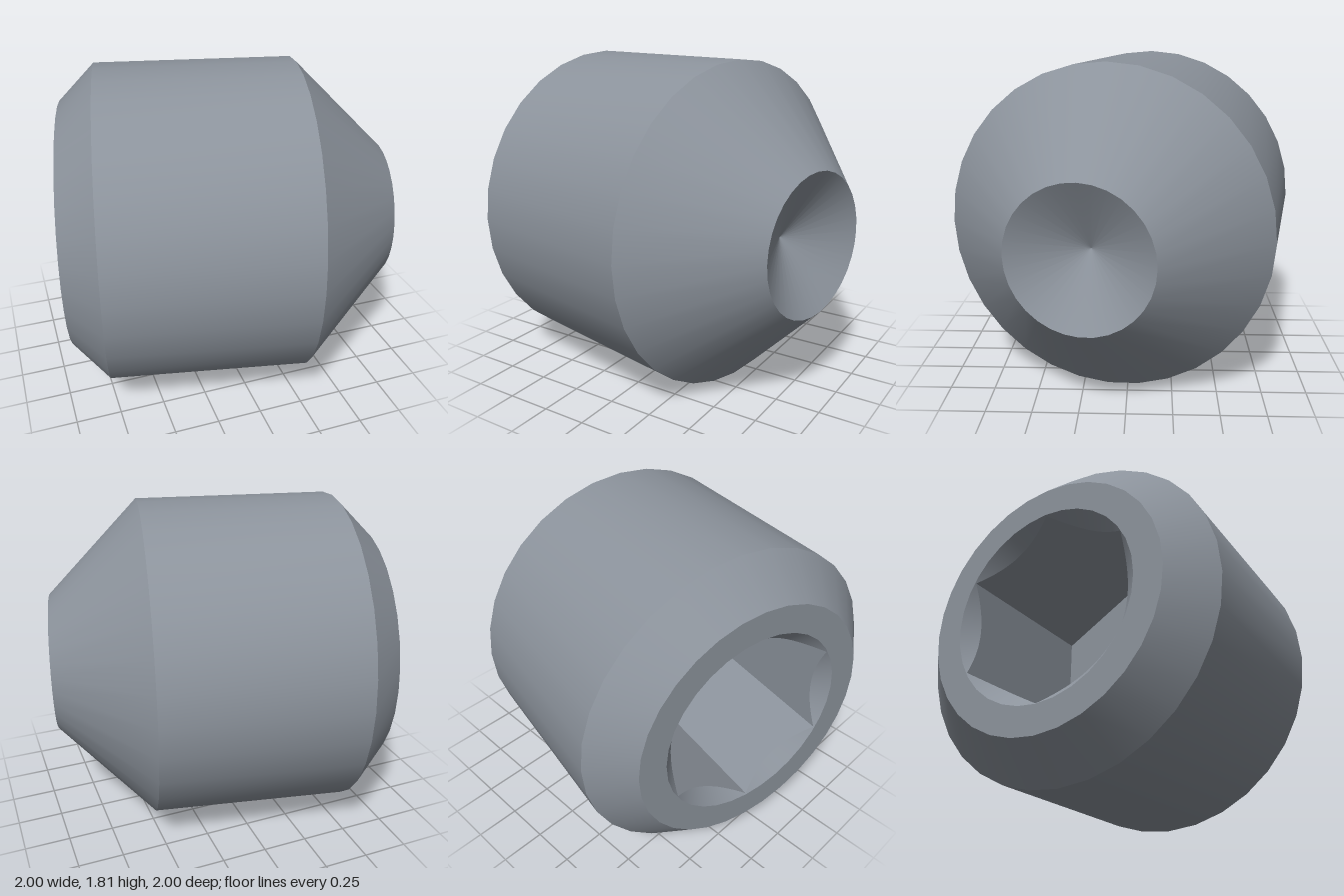
import * as THREE from 'three';
import { toCreasedNormals } from 'three/addons/utils/BufferGeometryUtils.js';

const REAR = -0.87;        // axial position of the socket end
const HEX_RADIUS = 0.54;   // corner radius of the hexagonal socket
const CREASE = 0.45;

// Turned outside: rear face, chamfer, barrel, tapered point, hollow cup
function bodyGeometry() {
  const profile = [
    [HEX_RADIUS + 0.004, REAR], [0.703, REAR], [0.906, -0.668], [0.906, 0.427],
    [0.389, 0.944], [0, 0.72],
  ].map(([r, s]) => new THREE.Vector2(r, s));
  return toCreasedNormals(new THREE.LatheGeometry(profile, 32), CREASE);
}

// Hexagonal hole with a 45 degree countersink that scallops the flats
function socketGeometry() {
  const steps = 96, rim = HEX_RADIUS + 0.005, floor = 0.035;
  const apothem = HEX_RADIUS * Math.cos(Math.PI / 6);
  const positions = [], index = [];
  for (let i = 0; i < steps; i++) {
    const t = (i / steps) * Math.PI * 2;
    const fromFlat = (t % (Math.PI / 3)) - Math.PI / 6;
    const hex = apothem / Math.cos(fromFlat);
    const rings = [[rim, REAR], [hex, REAR + rim - hex], [hex, floor], [0, floor]];
    for (const [r, s] of rings) positions.push(r * Math.cos(t), s, r * Math.sin(t));
    const next = (i + 1) % steps;
    for (let k = 0; k < 3; k++) {
      const a = i * 4 + k, b = next * 4 + k;
      index.push(a, b, a + 1);
      if (k < 2) index.push(b, b + 1, a + 1);
    }
  }
  const geometry = new THREE.BufferGeometry();
  geometry.setAttribute('position', new THREE.Float32BufferAttribute(positions, 3));
  geometry.setIndex(index);
  return toCreasedNormals(geometry, CREASE);
}

export function createModel() {
  const steel = new THREE.MeshStandardMaterial({ color: 0x8c939c });
  steel.name = 'steel';

  const screw = new THREE.Group();
  screw.name = 'setScrew';
  const parts = { body: bodyGeometry(), hexSocket: socketGeometry() };
  for (const [name, geometry] of Object.entries(parts)) {
    const mesh = new THREE.Mesh(geometry, steel);
    mesh.name = name;
    screw.add(mesh);
  }

  // Lay the screw on its side, point towards +x and turned slightly to the front
  const axis = new THREE.Vector3(0.978, 0, 0.21).normalize();
  const up = new THREE.Vector3(0, 1, 0);
  const side = new THREE.Vector3().crossVectors(up, axis);
  screw.quaternion.setFromRotationMatrix(new THREE.Matrix4().makeBasis(up, axis, side));
  screw.position.set(-0.005, 0.906, 0.022);

  const model = new THREE.Group();
  model.name = 'model';
  model.add(screw);
  return model;
}
